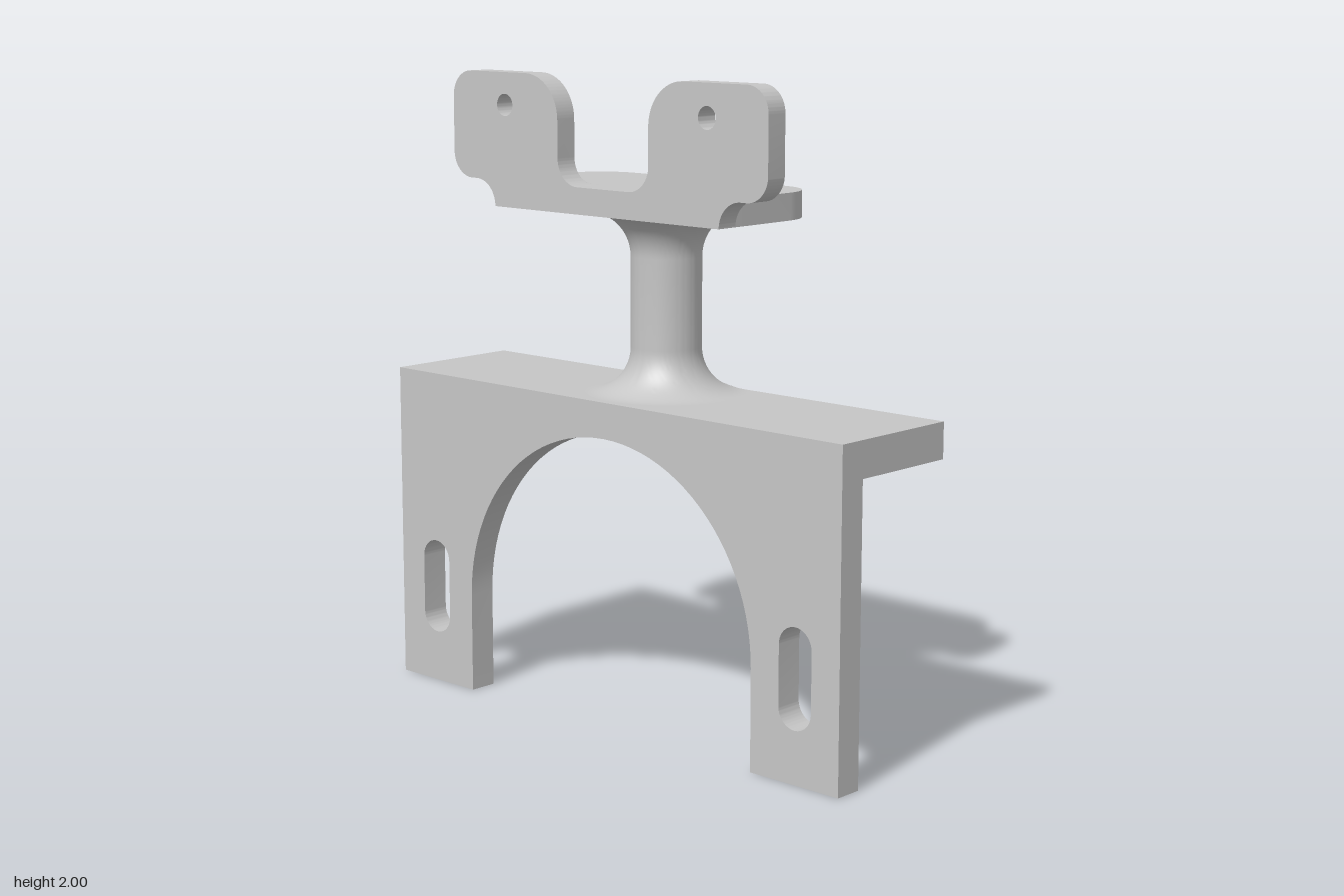
import * as THREE from 'three';
import { toCreasedNormals } from 'three/addons/utils/BufferGeometryUtils.js';

const HALF_PI = Math.PI / 2;
const FRONT = 0.232, BACK = -0.232;
const LEDGE = 1.025;                       // top of the wide ledge
const TRAY_LOW = 1.586, TRAY_TOP = 1.668;  // upper tray
const EAR_BACK = 0.16;

export function createModel() {
  const model = new THREE.Group();
  model.name = 'bracket';
  const metal = new THREE.MeshStandardMaterial({ color: 0xc6c6c6 });
  metal.name = 'light grey metal';

  const add = (name, geometry) => {
    const mesh = new THREE.Mesh(toCreasedNormals(geometry, 0.5), metal);
    mesh.name = name;
    model.add(mesh);
  };
  const extrude = (shape, depth, steps = 1) =>
    new THREE.ExtrudeGeometry(shape, { depth, steps, curveSegments: 24, bevelEnabled: false });

  // Front plate with an arch and two slots
  const plate = new THREE.Shape();
  plate.moveTo(-0.928, 0).lineTo(-0.597, 0).lineTo(-0.597, 0.316);
  plate.absarc(0, 0.316, 0.597, Math.PI, 0, true);
  plate.lineTo(0.597, 0).lineTo(0.928, 0).lineTo(0.928, LEDGE).lineTo(-0.928, LEDGE);
  for (const side of [-1, 1]) {
    const slot = new THREE.Path();
    slot.absarc(side * 0.764, 0.41, 0.061, 0, Math.PI, false);
    slot.absarc(side * 0.764, 0.225, 0.061, Math.PI, 2 * Math.PI, false);
    slot.closePath();
    plate.holes.push(slot);
  }
  add('archedPlate', extrude(plate, FRONT - 0.141).translate(0, 0, 0.141));

  // Horizontal ledge behind the plate
  add('ledge', new THREE.BoxGeometry(1.856, 0.112, 0.141 - BACK)
    .translate(0, LEDGE - 0.056, (0.141 + BACK) / 2));

  // Round post with flared ends, cut flush with the back
  const profile = [];
  const flare = 0.14, wide = 0.25, n = 18;
  for (let i = 0; i <= n; i++) {
    const a = HALF_PI * i / n;
    profile.push(new THREE.Vector2(wide - flare * Math.sin(a), LEDGE + flare * (1 - Math.cos(a))));
  }
  for (let i = n; i >= 0; i--) {
    const a = HALF_PI * i / n;
    profile.push(new THREE.Vector2(wide - flare * Math.sin(a), TRAY_LOW - flare * (1 - Math.cos(a))));
  }
  const post = new THREE.LatheGeometry(profile, 96).translate(0, 0, -0.048);
  const pp = post.attributes.position;
  for (let i = 0; i < pp.count; i++) pp.setZ(i, Math.max(pp.getZ(i), BACK));
  add('post', post);

  // Tray with rounded back corners (drawn in x, -z)
  const tray = new THREE.Shape();
  tray.moveTo(-0.464, -EAR_BACK).lineTo(0.464, -EAR_BACK);
  tray.absarc(0.314, -BACK - 0.15, 0.15, 0, HALF_PI, false);
  tray.absarc(-0.314, -BACK - 0.15, 0.15, HALF_PI, Math.PI, false);
  tray.closePath();
  add('tray', extrude(tray, TRAY_TOP - TRAY_LOW).rotateX(-HALF_PI).translate(0, TRAY_LOW, 0));

  // Upright with two ears
  const ears = new THREE.Shape();
  ears.moveTo(-0.464, TRAY_LOW).lineTo(0.464, TRAY_LOW);
  ears.absarc(0.546, TRAY_LOW, 0.082, Math.PI, HALF_PI, true);
  ears.absarc(0.568, 1.748, 0.08, -HALF_PI, 0, false);
  ears.absarc(0.568, 1.92, 0.08, 0, HALF_PI, false);
  ears.absarc(0.325, 1.863, 0.137, HALF_PI, Math.PI, false);
  ears.absarc(0.106, 1.75, 0.082, 0, -HALF_PI, true);
  ears.absarc(-0.106, 1.75, 0.082, -HALF_PI, -Math.PI, true);
  ears.absarc(-0.325, 1.863, 0.137, 0, HALF_PI, false);
  ears.absarc(-0.568, 1.92, 0.08, HALF_PI, Math.PI, false);
  ears.absarc(-0.568, 1.748, 0.08, Math.PI, 1.5 * Math.PI, false);
  ears.absarc(-0.546, TRAY_LOW, 0.082, HALF_PI, 0, true);
  for (const side of [-1, 1]) {
    const hole = new THREE.Path();
    hole.absarc(side * 0.417, 1.9, 0.034, 0, 2 * Math.PI, false);
    ears.holes.push(hole);
  }
  add('ears', extrude(ears, FRONT - EAR_BACK).translate(0, 0, EAR_BACK));

  // Fillets between tray and ears, lowered to follow the ear outline inwards
  const r = 0.03;
  const fillet = new THREE.Shape();
  fillet.moveTo(-EAR_BACK, TRAY_TOP).lineTo(r - EAR_BACK, TRAY_TOP);
  fillet.absarc(r - EAR_BACK, TRAY_TOP + r, r, -HALF_PI, -Math.PI, true);
  fillet.closePath();
  for (const side of [-1, 1]) {
    const g = extrude(fillet, 0.358, 40).rotateY(HALF_PI).translate(side > 0 ? 0.106 : -0.464, 0, 0);
    const p = g.attributes.position;
    for (let i = 0; i < p.count; i++) {
      const d = Math.min(Math.abs(p.getX(i)) - 0.106, 0.082);
      const limit = 1.75 - Math.sqrt(Math.max(0, 0.082 ** 2 - d * d));
      p.setY(i, Math.min(p.getY(i), limit));
    }
    add(side > 0 ? 'leftFillet' : 'rightFillet', g);
  }
  return model;
}
